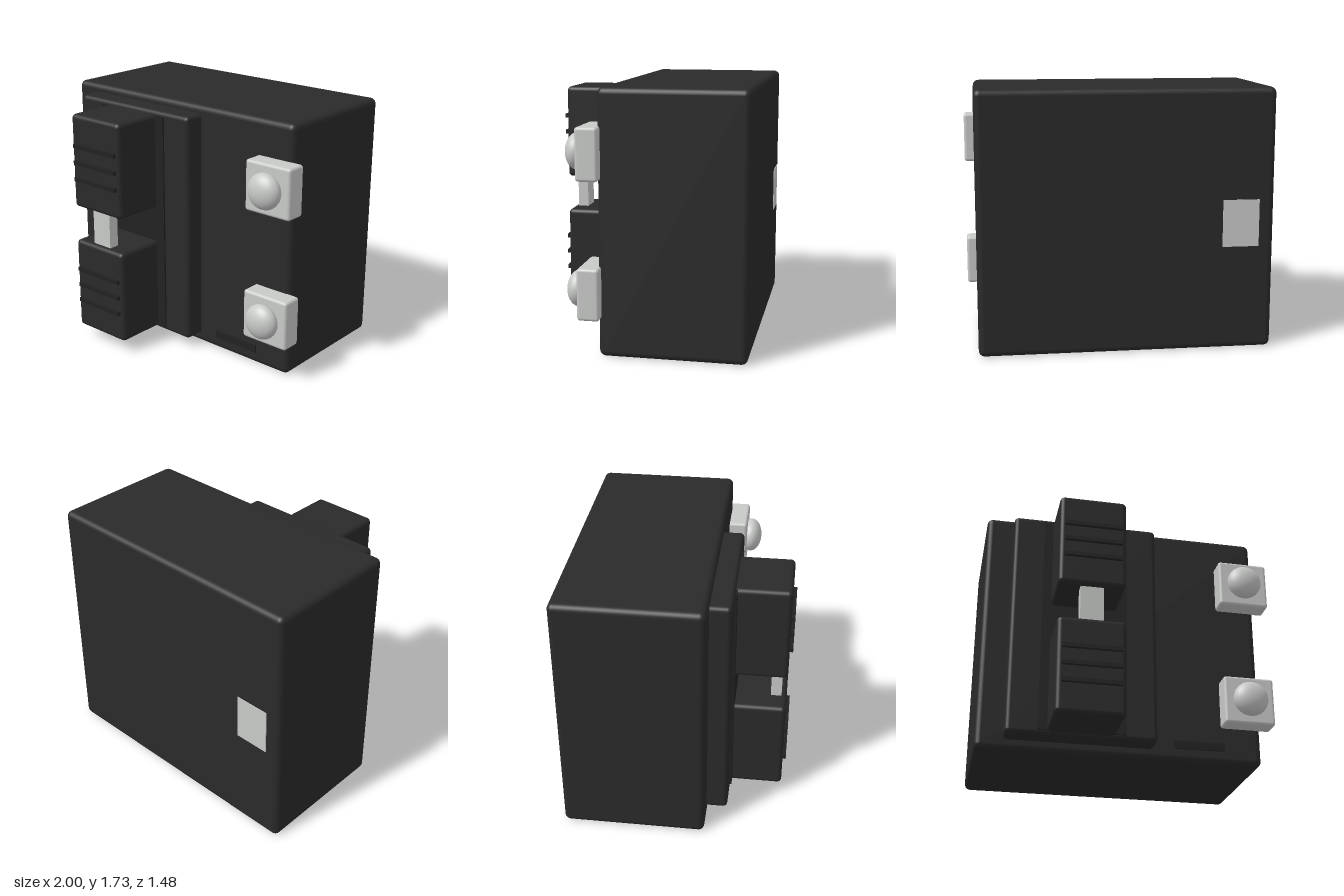
import * as THREE from 'three';
import { RoundedBoxGeometry } from 'three/addons/geometries/RoundedBoxGeometry.js';

const mat = (name, color) => {
  const m = new THREE.MeshStandardMaterial({ color });
  m.name = name;
  return m;
};

export function createModel() {
  const black = mat('black plastic', 0x2a2a2a);
  const dark = mat('dark plastic', 0x222222);
  const metal = mat('light metal', 0xc8cac8);
  const group = new THREE.Group();

  // Box given by its limits on each axis; r > 0 rounds the edges
  const block = (name, material, [x0, x1], [y0, y1], [z0, z1], r = 0) => {
    const size = [x1 - x0, y1 - y0, z1 - z0];
    const geo = r ? new RoundedBoxGeometry(...size, 3, r) : new THREE.BoxGeometry(...size);
    const mesh = new THREE.Mesh(geo, material);
    mesh.name = name;
    mesh.position.set((x0 + x1) / 2, (y0 + y1) / 2, (z0 + z1) / 2);
    group.add(mesh);
    return mesh;
  };

  // Main housing and stepped front plates
  block('housing', black, [-1, 0.93], [0, 1.725], [-0.735, 0.22], 0.04);
  block('frontPlate', black, [-0.82, 0.18], [0.07, 1.67], [0.18, 0.36], 0.03);
  block('slideTrack', dark, [-0.61, -0.03], [0.1, 1.64], [0.35, 0.372]);
  block('labelPlate', dark, [0.32, 0.67], [0.085, 0.14], [0.215, 0.229]);

  // Two grip blocks, each with three ridges
  for (const [y0, ridgeY] of [[0.09, 0.42], [0.99, 1.315]]) {
    block('gripBlock', black, [-0.55, -0.1], [y0, y0 + 0.655], [0.33, 0.715], 0.03);
    for (const dy of [-0.117, 0, 0.117]) {
      const y = ridgeY + dy;
      block('gripRidge', dark, [-0.515, -0.13], [y - 0.014, y + 0.014], [0.7, 0.737]);
    }
  }

  // Bar joining the grips
  block('connectingBar', metal, [-0.4, -0.245], [0.7, 1.04], [0.607, 0.68]);

  // Square terminals with domed buttons
  for (const y of [0.422, 1.315]) {
    block('terminal', metal, [0.65, 1], [y - 0.17, y + 0.17], [0.2, 0.345], 0.02);
    const dome = new THREE.Mesh(new THREE.SphereGeometry(0.12, 32, 20), metal);
    dome.name = 'terminalDome';
    dome.geometry.rotateX(Math.PI / 2);
    dome.scale.z = 0.64;
    dome.position.set(0.825, y, 0.37);
    group.add(dome);
  }

  // Thin metal plate flush with the back
  block('backPlate', metal, [-0.9, -0.66], [0.69, 1], [-0.74, -0.734]);

  return group;
}
